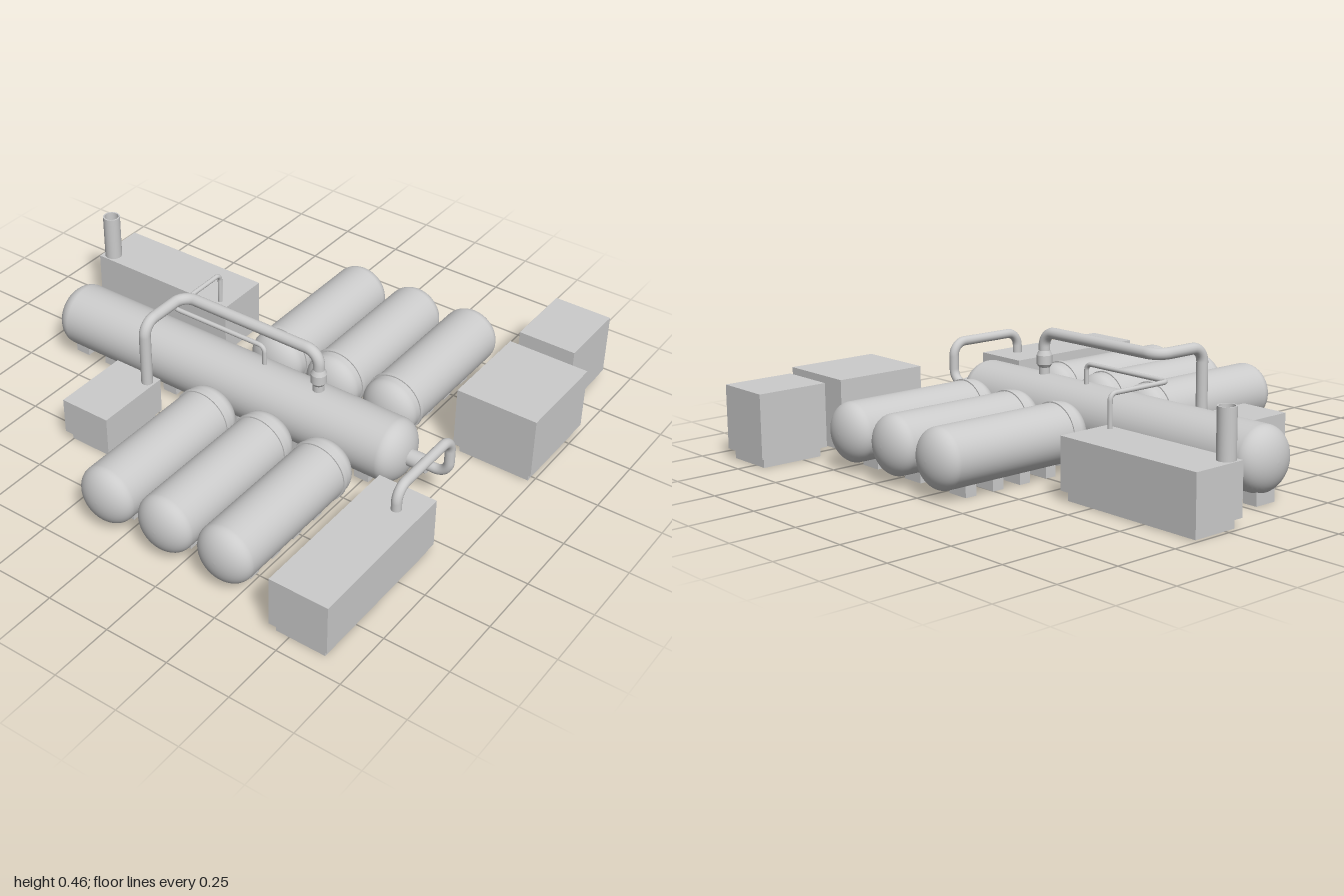
import * as THREE from 'three';

const material = new THREE.MeshStandardMaterial({ color: 0xcccccc });
const openMaterial = new THREE.MeshStandardMaterial({ color: 0xcccccc, side: THREE.DoubleSide });

function add(parent, name, geometry, x = 0, y = 0, z = 0, mat = material) {
  const mesh = new THREE.Mesh(geometry, mat);
  mesh.name = name;
  mesh.position.set(x, y, z);
  parent.add(mesh);
  return mesh;
}

// Vessel along y, centred, with elliptical heads
function vesselGeometry(radius, length, head) {
  const pts = [];
  const steps = 14;
  const straight = length / 2 - head;
  for (const end of [-1, 1]) {
    for (let i = 0; i <= steps; i++) {
      const a = (end < 0 ? steps - i : i) / steps * Math.PI / 2;
      pts.push(new THREE.Vector2(Math.max(0, radius * Math.cos(a)), end * (straight + head * Math.sin(a))));
    }
  }
  return new THREE.LatheGeometry(pts, 48);
}

// Pipe through corner points, with a rounded elbow at each inner corner
function pipeGeometry(corners, radius, bend) {
  const p = corners.map(c => new THREE.Vector3(...c));
  const path = new THREE.CurvePath();
  let from = p[0];
  for (let i = 1; i < p.length - 1; i++) {
    const toPrev = p[i - 1].clone().sub(p[i]).normalize();
    const toNext = p[i + 1].clone().sub(p[i]).normalize();
    const a = p[i].clone().addScaledVector(toPrev, bend);
    const b = p[i].clone().addScaledVector(toNext, bend);
    path.add(new THREE.LineCurve3(from, a));
    // Cubic handles that approximate a quarter circle
    path.add(new THREE.CubicBezierCurve3(a, a.clone().addScaledVector(toPrev, -bend * 0.552),
      b.clone().addScaledVector(toNext, -bend * 0.552), b));
    from = b;
  }
  path.add(new THREE.LineCurve3(from, p[p.length - 1]));
  return new THREE.TubeGeometry(path, 140, radius, 16);
}

// Equipment box on a slightly smaller plinth
function cabinet(parent, name, x0, x1, z0, z1, top) {
  const group = new THREE.Group();
  group.name = name;
  const base = 0.037, inset = 0.018;
  const w = x1 - x0, d = z1 - z0, x = (x0 + x1) / 2, z = (z0 + z1) / 2;
  add(group, 'housing', new THREE.BoxGeometry(w, top - base, d), x, (top + base) / 2, z);
  add(group, 'plinth', new THREE.BoxGeometry(w - 2 * inset, base, d - 2 * inset), x, base / 2, z);
  parent.add(group);
}

export function createModel() {
  const model = new THREE.Group();
  model.name = 'processPlant';
  const cx = -0.08;

  // Long central vessel on a row of saddles
  const main = new THREE.Group();
  main.name = 'centralVessel';
  model.add(main);
  add(main, 'shell', vesselGeometry(0.122, 1.59, 0.08), cx, 0.157, -0.125).rotation.x = Math.PI / 2;
  for (let i = 0; i < 10; i++) {
    add(main, 'saddle', new THREE.BoxGeometry(0.092, 0.08, 0.062), cx, 0.04, 0.4925 - i * 0.1475);
  }

  // Three vessels on each side, mirrored about the central vessel
  const sideShell = vesselGeometry(0.113, 0.695, 0.07);
  for (const side of [-1, 1]) {
    for (const z of [-0.07, 0.185, 0.44]) {
      const tank = new THREE.Group();
      tank.name = side < 0 ? 'rightTank' : 'leftTank';
      tank.position.set(-0.0775 + side * 0.495, 0.146, z);
      model.add(tank);
      add(tank, 'shell', sideShell).rotation.z = Math.PI / 2;
      add(tank, 'flange', new THREE.CylinderGeometry(0.118, 0.118, 0.016, 48), -side * 0.247).rotation.z = Math.PI / 2;
      for (let i = 0; i < 4; i++) {
        add(tank, 'saddle', new THREE.BoxGeometry(0.048, 0.08, 0.09), side * (0.185 - i * 0.1235), -0.106, 0);
      }
    }
  }

  // Equipment cabinets
  cabinet(model, 'frontRightCabinet', -0.945, -0.305, 0.68, 0.91, 0.232);
  cabinet(model, 'frontMiddleCabinet', 0.205, 0.583, 0.677, 1, 0.283);
  cabinet(model, 'frontLeftCabinet', 0.655, 0.94, 0.677, 0.907, 0.283);
  cabinet(model, 'backLeftCabinet', 0.187, 0.407, -1, -0.36, 0.232);
  cabinet(model, 'backRightCabinet', -0.578, -0.27, -0.522, -0.315, 0.18);

  // Open chimney
  const chimney = [[0.034, 0.22], [0.034, 0.413], [0.028, 0.413], [0.028, 0.24]];
  for (let i = 0; i < 3; i++) {
    const wall = chimney.slice(i, i + 2).map(c => new THREE.Vector2(...c));
    add(model, 'chimney', new THREE.LatheGeometry(wall, 32), 0.226, 0, -0.96, openMaterial);
  }

  // Large overhead pipe with a reducer at the vessel outlet
  add(model, 'overheadPipe', pipeGeometry([
    [cx, 0.27, 0.268], [cx, 0.441, 0.268], [cx, 0.441, -0.345], [-0.31, 0.441, -0.345], [-0.31, 0.17, -0.345],
  ], 0.022, 0.055), 0, 0, 0);
  add(model, 'reducer', new THREE.CylinderGeometry(0.03, 0.03, 0.035, 32), cx, 0.333, 0.268);
  add(model, 'reducerTop', new THREE.CylinderGeometry(0.022, 0.03, 0.018, 32), cx, 0.3595, 0.268);
  add(model, 'reducerBottom', new THREE.CylinderGeometry(0.03, 0.022, 0.012, 32), cx, 0.3095, 0.268);

  // Thin service pipe
  add(model, 'servicePipe', pipeGeometry([
    [-0.07, 0.26, 0.02], [-0.07, 0.356, 0.02], [-0.07, 0.356, -0.405], [0.215, 0.356, -0.405], [0.215, 0.22, -0.405],
  ], 0.009, 0.025));

  // Front outlet nozzle and pipe
  add(model, 'nozzle', new THREE.CylinderGeometry(0.032, 0.032, 0.09, 32), cx, 0.155, 0.695).rotation.x = Math.PI / 2;
  add(model, 'outletPipe', pipeGeometry([
    [cx, 0.155, 0.7], [cx, 0.155, 0.823], [cx, 0.317, 0.823], [-0.42, 0.317, 0.823], [-0.42, 0.22, 0.823],
  ], 0.019, 0.055));

  return model;
}
